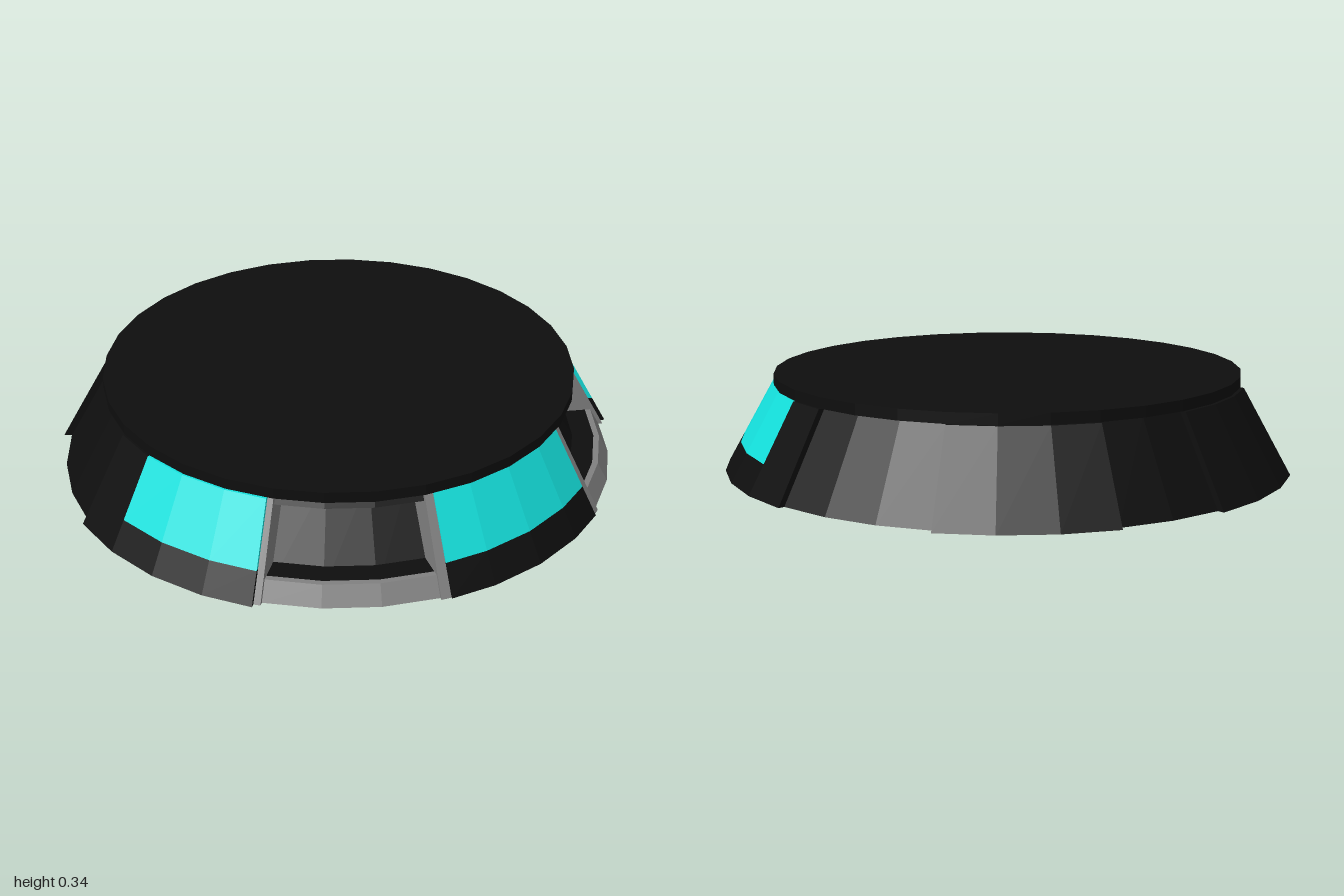
import * as THREE from 'three';

const STEP = Math.PI / 16; // the body is a 32-sided ring; angles are counted in sides from +z
const TOP = 0.3;
const SLOPE = 0.56;
const innerRadius = (y) => 0.88 - 0.65 * y;

const material = (color) => new THREE.MeshStandardMaterial({ color, flatShading: true });

// Solid ring segment from side a0 to a1; base is the outer radius at y = 0, tapering upward
function ringSegment(a0, a1, y0, y1, base, inner = innerRadius) {
  const outer = (y) => base - SLOPE * y;
  const profile = [[inner(y0), y0], [outer(y0), y0], [outer(y1), y1], [inner(y1), y1]];
  const stops = [a0];
  for (let k = Math.floor(a0) + 1; k < a1; k++) stops.push(k);
  stops.push(a1);

  const positions = [];
  const point = (a, [r, y]) => [r * Math.sin(a * STEP), y, r * Math.cos(a * STEP)];
  const quad = (a, b, c, d) => positions.push(...a, ...b, ...c, ...a, ...c, ...d);
  for (let i = 0; i < stops.length - 1; i++) {
    const [s, e] = [stops[i], stops[i + 1]];
    profile.forEach((p, j) => {
      const q = profile[(j + 1) % 4];
      quad(point(s, p), point(e, p), point(e, q), point(s, q));
    });
  }
  quad(...profile.map((p) => point(a0, p)));
  quad(...profile.map((p) => point(a1, p)).reverse());

  const geometry = new THREE.BufferGeometry();
  geometry.setAttribute('position', new THREE.Float32BufferAttribute(positions, 3));
  geometry.computeVertexNormals();
  return geometry;
}

export function createModel() {
  const model = new THREE.Group();
  model.name = 'roundBase';
  const black = material(0x0e0e0e);
  const grey = material(0x808080);
  const cyan = material(0x14e0dc);

  const add = (name, geometry, mat, y = 0) => {
    const mesh = new THREE.Mesh(geometry, mat);
    mesh.name = name;
    mesh.position.y = y;
    model.add(mesh);
  };
  const segment = (name, mat, a0, a1, y0, y1, base, inner) =>
    add(name, ringSegment(a0, a1, y0, y1, base, inner), mat);
  // The same segment on the left (+x) and right (-x)
  const pair = (name, mat, a0, a1, ...rest) => {
    segment(name + 'Left', mat, a0, a1, ...rest);
    segment(name + 'Right', mat, -a1, -a0, ...rest);
  };

  // Inner core and top disc
  add('core', new THREE.CylinderGeometry(innerRadius(TOP), innerRadius(0), TOP, 32), black, TOP / 2);
  add('topDisc', new THREE.CylinderGeometry(0.825, 0.825, 0.038, 32), black, TOP + 0.019);

  // Front plate with its window
  segment('frontPlate', black, -1.82, 1.82, 0, 0.1, 0.985);
  segment('frontWindow', cyan, -1.82, 1.82, 0.1, TOP, 0.985);

  // Open bays beside the front plate: jambs, sill, floor and lintel
  pair('frontJamb', grey, 1.82, 2, 0, TOP, 0.98);
  pair('sideJamb', grey, 5, 5.12, 0, TOP, 0.985);
  pair('baySill', grey, 2, 5, 0, 0.065, 0.97, (y) => 0.95 - SLOPE * y);
  pair('bayFloor', black, 2, 5, 0, 0.065, 0.95);
  pair('bayLintel', black, 2, 5, 0.27, TOP, 0.965);

  // Side plates, with windows in their front part
  pair('sidePlate', black, 5.12, 8, 0, 0.1, 1);
  pair('sideWindow', cyan, 5.12, 8, 0.1, TOP, 1);
  pair('sidePlateRear', black, 8, 9, 0, TOP, 1);

  // Rear: lower panels alternate with raised plates
  pair('rearSidePanel', black, 9, 12, 0, TOP, 0.977);
  pair('rearPlate', black, 12, 15, 0, TOP, 1.005);
  segment('rearPanel', black, 15, 17, 0, TOP, 0.98);

  return model;
}
